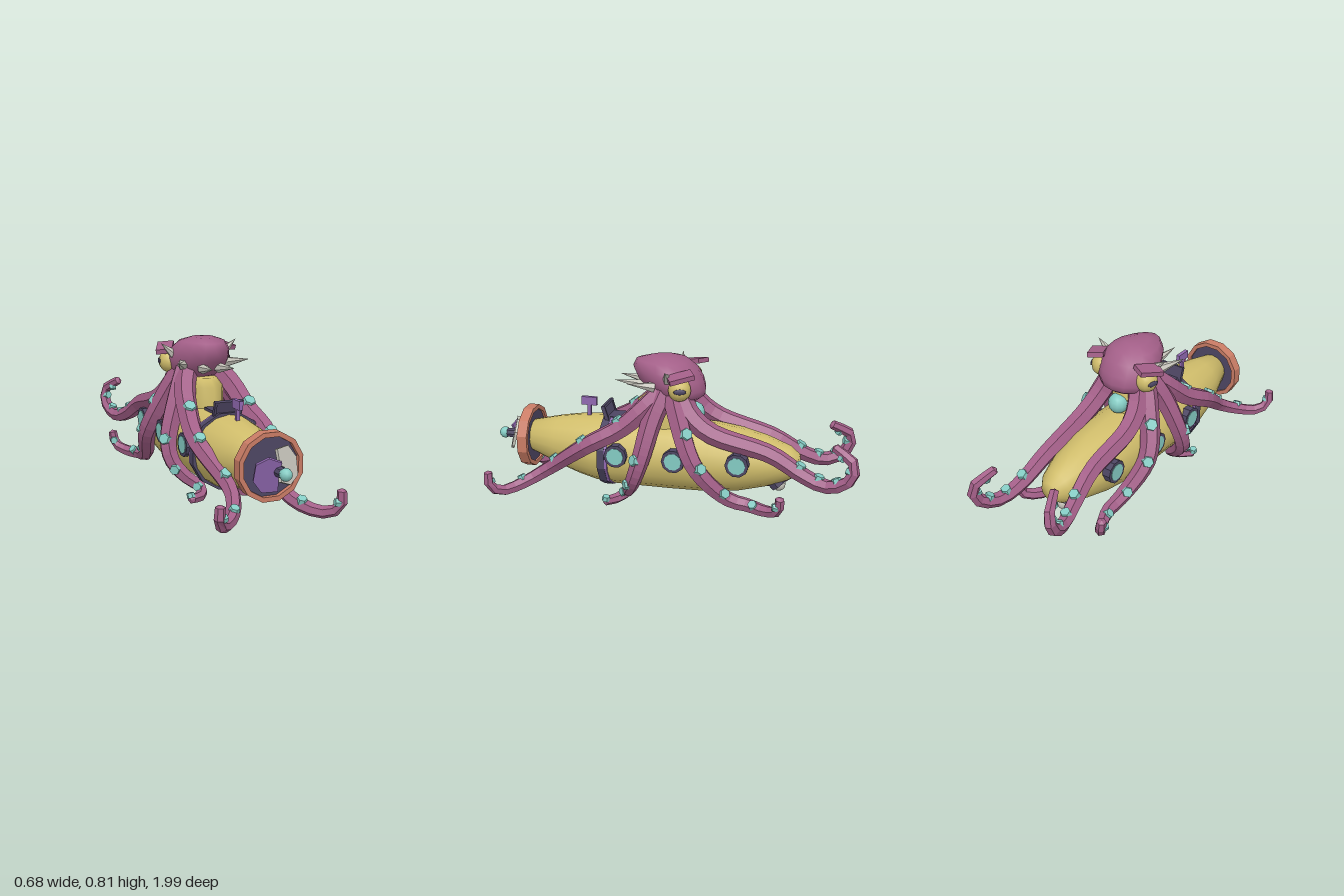
import * as THREE from 'three';
import { mergeVertices } from 'three/addons/utils/BufferGeometryUtils.js';

const mat = (name, color) => {
  const m = new THREE.MeshStandardMaterial({ color });
  m.name = name;
  return m;
};
const V = (x, y, z) => new THREE.Vector3(x, y, z);

// Faceted normals
const flat = (g) => {
  const n = g.index ? g.toNonIndexed() : g;
  n.computeVertexNormals();
  return n;
};

// Seamless lathe whose vertices can be moved by a rule
const lathe = (pts, sides, rule) => {
  let g = new THREE.LatheGeometry(pts.map(([r, y]) => new THREE.Vector2(r, y)), sides);
  g.deleteAttribute('uv');
  g.deleteAttribute('normal');
  g = mergeVertices(g);
  const p = g.attributes.position, v = V(0, 0, 0);
  for (let i = 0; i < p.count; i++) {
    rule(v.fromBufferAttribute(p, i));
    p.setXYZ(i, v.x, v.y, v.z);
  }
  g.computeVertexNormals();
  return g;
};

// Six-sided tapering arm; returns geometry and a frame sampler for the suckers
function sweepArm(points, r0, r1, normal, steps = 22, sides = 6) {
  const curve = new THREE.CatmullRomCurve3(points, false, 'centripetal');
  const pos = [], idx = [], frames = [];
  const n = normal.clone();
  for (let i = 0; i <= steps; i++) {
    const u = i / steps, c = curve.getPointAt(u), t = curve.getTangentAt(u);
    n.addScaledVector(t, -n.dot(t)).normalize();
    frames.push({ c, n: n.clone(), b: t.clone().cross(n), t, r: r0 + (r1 - r0) * Math.pow(u, 1.5) });
  }
  const first = frames[0], last = frames[steps];
  const rings = [{ ...first, r: 0 }, ...frames, { ...last, c: last.c.clone().addScaledVector(last.t, 0.012), r: 0 }];
  rings.forEach(({ c, n, b, r }, i) => {
    for (let j = 0; j < sides; j++) {
      const a = ((j + 0.5) / sides) * Math.PI * 2;
      const p = c.clone().addScaledVector(n, r * Math.cos(a)).addScaledVector(b, r * Math.sin(a));
      pos.push(p.x, p.y, p.z);
      if (i === rings.length - 1) continue;
      const k = (j + 1) % sides, A = i * sides, B = A + sides;
      idx.push(A + j, A + k, B + j, A + k, B + k, B + j);
    }
  });
  const g = new THREE.BufferGeometry();
  g.setAttribute('position', new THREE.Float32BufferAttribute(pos, 3));
  g.setIndex(idx);
  return { geometry: flat(g), frames };
}

export function createModel() {
  const root = new THREE.Group();
  root.name = 'octopusOnSubmarine';
  const skin = mat('octopusSkin', 0xa35f88), yellow = mat('hullYellow', 0xd0bd6b);
  const dark = mat('darkMetal', 0x4d4663), copper = mat('copper', 0xc97c65);
  const teal = mat('teal', 0x84cbc3), violet = mat('violet', 0x9068b0), bone = mat('bone', 0xc6c4ba);

  const add = (name, g, m, p = [0, 0, 0], rot = [0, 0, 0]) => {
    const mesh = new THREE.Mesh(g, m);
    mesh.name = name;
    mesh.position.set(...p);
    mesh.rotation.set(...rot);
    root.add(mesh);
    return mesh;
  };
  const box = (name, w, h, d, m, p, rot) => add(name, new THREE.BoxGeometry(w, h, d), m, p, rot);
  const aim = (mesh, dir) => mesh.quaternion.setFromUnitVectors(V(0, 1, 0), dir.clone().normalize());
  const alongZ = Math.PI / 2;

  // Hull, lathed along z, with the nose rising slightly
  add('hull', lathe([[0, -0.675], [0.05, -0.67], [0.09, -0.62], [0.135, -0.5], [0.17, -0.36], [0.188, -0.22],
    [0.192, 0], [0.192, 0.3], [0.182, 0.42], [0.165, 0.52], [0.135, 0.64], [0.088, 0.79], [0, 0.79]], 16,
  (v) => v.set(v.x, 0.29 - v.z + Math.max(0, v.y - 0.4) * 0.09, v.y)), yellow);

  // Twelve-sided band
  const band = (r, d) => flat(new THREE.CylinderGeometry(r, r, d, 12).rotateY(Math.PI / 12).rotateX(alongZ));
  add('hullBand', band(0.202, 0.04), dark, [0, 0.29, 0.355]);
  add('hullBandTrim', band(0.2, 0.014), violet, [0, 0.29, 0.328]);

  // Tower, rear dome and windscreen
  add('tower', lathe([[0.097, 0.4], [0.097, 0.58], [0.065, 0.622], [0, 0.625]], 12,
    (v) => v.set(v.x, v.y, v.z * 1.65 + 0.04)), yellow);
  add('rearDome', new THREE.SphereGeometry(0.055, 12, 8), teal, [0, 0.53, -0.11]);
  box('cockpitDeck', 0.11, 0.02, 0.16, dark, [0, 0.475, 0.275]);
  box('windscreen', 0.14, 0.075, 0.008, dark, [0, 0.505, 0.36], [0.3, 0, 0]);
  box('windscreenTop', 0.155, 0.012, 0.02, dark, [0, 0.54, 0.37], [0.3, 0, 0]);
  for (const s of [-1, 1]) box('windscreenPost', 0.012, 0.08, 0.02, dark, [s * 0.071, 0.505, 0.36], [0.3, 0, 0]);

  // Periscope
  box('periscopePost', 0.018, 0.1, 0.02, violet, [0, 0.485, 0.47]);
  box('periscopeHead', 0.02, 0.045, 0.085, violet, [0, 0.547, 0.47]);

  // Propeller shroud: solid dark disc inside a copper ring
  const circle = (r) => Array.from({ length: 12 }, (_, i) => {
    const a = ((i + 0.5) / 12) * Math.PI * 2;
    return new THREE.Vector2(r * Math.cos(a), r * Math.sin(a));
  });
  const ring = new THREE.Shape(circle(0.17));
  ring.holes.push(new THREE.Path(circle(0.146)));
  add('shroudRing', new THREE.ExtrudeGeometry(ring, { depth: 0.055, bevelEnabled: false }), copper, [0, 0.323, 0.778]);
  add('shroudDisc', new THREE.ExtrudeGeometry(new THREE.Shape(circle(0.147)), { depth: 0.02, bevelEnabled: false }),
    dark, [0, 0.323, 0.79]);

  // Propeller: two pitched blades half a turn apart
  const bladeShape = new THREE.Shape([[0, 0.1], [0.075, 0.105], [0.116, 0.045], [0.106, -0.04], [0.047, -0.073],
    [-0.012, -0.05], [0, 0]].map(([x, y]) => new THREE.Vector2(x, y)));
  [[bone, 0], [violet, Math.PI]].forEach(([m, turn]) => {
    const g = new THREE.ExtrudeGeometry(bladeShape, { depth: 0.016, bevelEnabled: false });
    g.rotateX(-0.25).rotateY(0.35).rotateZ(turn);
    add('propellerBlade', g, m, [0, 0.323, 0.9]);
  });
  add('propellerShaft', flat(new THREE.CylinderGeometry(0.026, 0.034, 0.15, 8).rotateX(alongZ)), dark, [0, 0.323, 0.88]);
  add('propellerCap', new THREE.SphereGeometry(0.031, 10, 8), teal, [0, 0.323, 0.968]);

  // Stern lamp under the tail
  const lampDir = V(0, -0.75, -0.65).normalize(), lampAt = V(0, 0.185, -0.55);
  aim(add('lampRim', flat(new THREE.CylinderGeometry(0.05, 0.05, 0.06, 8)), dark, lampAt.toArray()), lampDir);
  add('lampBulb', new THREE.SphereGeometry(0.036, 10, 8), bone, lampAt.addScaledVector(lampDir, 0.027).toArray());

  // Octopus head: a lathe pinched toward the front and leaning forward
  add('octopusHead', lathe([[0, 0.605], [0.1, 0.607], [0.142, 0.63], [0.163, 0.665], [0.17, 0.71], [0.158, 0.765],
    [0.122, 0.806], [0.06, 0.826], [0, 0.829]], 14, (v) => {
    v.x *= 1 - 0.3 * Math.max(0, v.z / 0.168);
    v.z = v.z * (v.z > 0 ? 1.2 + (v.y - 0.72) * 2 : 0.9) + (v.y - 0.72) * 0.4;
  }), skin);

  // A mirrored pair of arms; suckers sit on the n side, every few sections from firstSucker on
  const armPair = (name, n, firstSucker, step, rightReach, pts) => {
    for (const s of [-1, 1]) {
      const reach = s < 0 ? rightReach : 1;
      const arm = sweepArm(pts.map(([x, y, z]) => V(s * x, y, z * reach)), 0.058, 0.024, V(s * n.x, n.y, n.z));
      add(name, arm.geometry, skin);
      for (let i = firstSucker; i < arm.frames.length; i += step) {
        const f = arm.frames[i], r = 0.012 + f.r * 0.44;
        const c = f.c.clone().addScaledVector(f.n, f.r * 0.88);
        aim(add('sucker', flat(new THREE.CylinderGeometry(r * 0.85, r, 0.026, 6)), teal, c.toArray()), f.n);
      }
    }
  };
  armPair('frontArm', V(0.15, 0.6, 0.8), 5, 4, 1, [[0.08, 0.66, 0.04], [0.135, 0.57, 0.13], [0.165, 0.465, 0.25],
    [0.195, 0.37, 0.42], [0.13, 0.18, 0.68], [0.18, 0.11, 0.8], [0.265, 0.09, 0.89], [0.31, 0.13, 0.94], [0.31, 0.205, 0.945]]);
  armPair('frontSideArm', V(0.7, 0.2, 0.6), 10, 4, 1, [[0.09, 0.66, 0.03], [0.15, 0.54, 0.075], [0.228, 0.31, 0.13],
    [0.22, 0.21, 0.165], [0.15, 0.12, 0.21], [0.095, 0.08, 0.24], [0.11, 0.048, 0.28], [0.185, 0.05, 0.335]]);
  armPair('rearSideArm', V(0.7, 0.2, -0.6), 5, 4, 1, [[0.09, 0.66, -0.01], [0.145, 0.55, -0.05], [0.228, 0.31, -0.16],
    [0.18, 0.13, -0.33], [0.175, 0.105, -0.43], [0.22, 0.1, -0.54], [0.265, 0.13, -0.6], [0.28, 0.2, -0.61]]);
  // The right rear arm is a little shorter
  armPair('rearArm', V(0, 0.8, -0.6), 13, 2, 0.95, [[0.08, 0.66, -0.04], [0.12, 0.54, -0.12], [0.137, 0.465, -0.23],
    [0.137, 0.38, -0.54], [0.16, 0.29, -0.71], [0.19, 0.255, -0.83], [0.22, 0.3, -0.935], [0.22, 0.39, -0.965],
    [0.17, 0.46, -0.86]]);

  for (const s of [-1, 1]) {
    // Portholes
    for (const z of [0.27, -0.04, -0.37]) {
      const at = [s * (z < -0.3 ? 0.165 : 0.185), 0.32, z], turn = [0, 0, -s * alongZ];
      add('portholeRim', flat(new THREE.CylinderGeometry(0.062, 0.062, 0.05, 10)), dark, at, turn);
      add('portholeGlass', flat(new THREE.CylinderGeometry(0.046, 0.046, 0.056, 10)), teal, at, turn);
    }

    // Eyes with slit pupils, and brows
    const look = V(s * 0.95, 0.08, -0.25).normalize();
    add('eye', new THREE.SphereGeometry(0.06, 12, 10), yellow, [s * 0.14, 0.69, -0.06]);
    const pupil = add('pupil', new THREE.SphereGeometry(1, 8, 6), dark,
      V(s * 0.14, 0.69, -0.06).addScaledVector(look, 0.056).toArray(), [0, s * 0.26, 0]);
    pupil.scale.set(0.007, 0.015, 0.033);
    box('brow', 0.085, 0.025, 0.13, skin, [s * 0.163, 0.762, -0.07], [0.22, s * 0.45, -s * 0.2]);

    // Head spikes: base and tip
    [[[0.045, 0.675, 0.15], [0.06, 0.695, 0.31]], [[0.125, 0.69, 0.08], [0.195, 0.718, 0.2]],
      [[0.14, 0.735, 0], [0.214, 0.797, 0]]].forEach(([b, t]) => {
      const from = V(s * b[0], b[1], b[2]), dir = V(s * t[0], t[1], t[2]).sub(from);
      const mid = from.clone().addScaledVector(dir, 0.5);
      aim(add('headSpike', flat(new THREE.ConeGeometry(0.028, dir.length(), 6)), bone, mid.toArray()), dir);
    });
  }
  return root;
}
